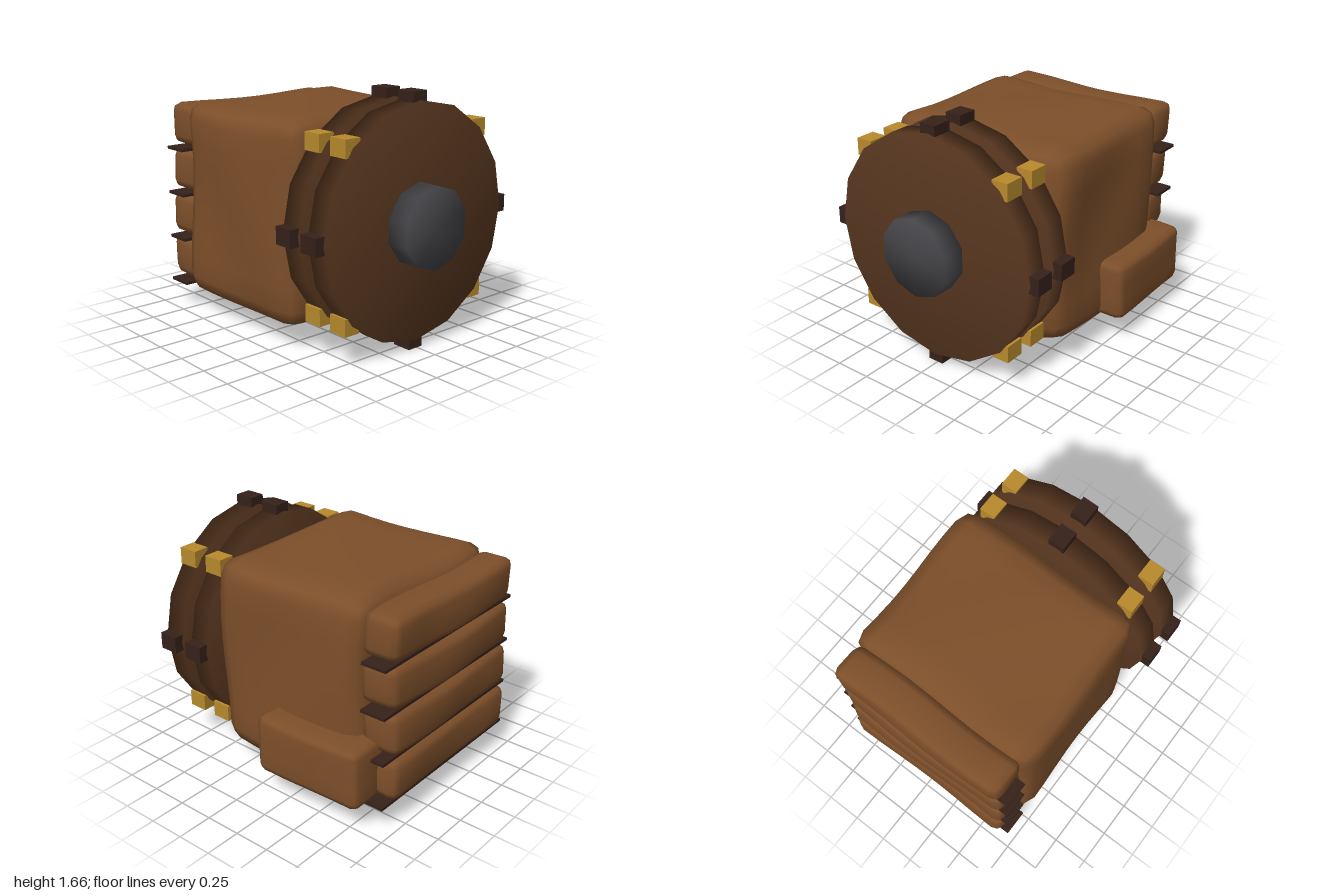
import * as THREE from 'three';
import { mergeVertices } from 'three/addons/utils/BufferGeometryUtils.js';

const mat = (color) => new THREE.MeshStandardMaterial({ color });
const leather = mat(0x7d4f2a);
const wood = mat(0x57361f);
const darkWood = mat(0x36211a);
const brass = mat(0xb88a2c);
const iron = mat(0x444448);

const CX = -0.015; // shared axis of the round parts
const CY = 0.84;
const R = 0.775;

// Weld the corners so the whole surface shades smoothly
function soften(geo) {
  geo.deleteAttribute('uv');
  geo.deleteAttribute('normal');
  const out = mergeVertices(geo, 1e-4);
  out.computeVertexNormals();
  return out;
}

// Grid positions along one axis: bevel band, even interior, bevel band
function remap(t, half, bevel, n) {
  const i = Math.round((t + 0.5) * n);
  if (i === 0) return -half;
  if (i === n) return half;
  return -half + bevel + ((i - 1) / (n - 2)) * 2 * (half - bevel);
}

// Soft stuffed box with chamfered edges and gentle dents
function stuffedBox(name, min, max, bevel, seg, dent) {
  const geo = new THREE.BoxGeometry(1, 1, 1, ...seg);
  const pos = geo.attributes.position;
  const lo = new THREE.Vector3(...min), hi = new THREE.Vector3(...max);
  const half = hi.clone().sub(lo).multiplyScalar(0.5);
  const mid = lo.clone().add(hi).multiplyScalar(0.5);
  const p = new THREE.Vector3();
  for (let i = 0; i < pos.count; i++) {
    p.set(
      remap(pos.getX(i), half.x, bevel, seg[0]),
      remap(pos.getY(i), half.y, bevel, seg[1]),
      remap(pos.getZ(i), half.z, bevel, seg[2])
    );
    // pull edges and corners inward to form the chamfer
    const edges = ['x', 'y', 'z'].filter((a) => Math.abs(p[a]) > half[a] - 1e-6);
    if (edges.length > 1) {
      for (const a of edges) p[a] -= Math.sign(p[a]) * bevel * (edges.length === 3 ? 0.42 : 0.29);
    }
    p.add(mid);
    const { x, y, z } = p;
    p.x += dent * Math.sin(4.1 * y + 5.3 * z + 1.0);
    p.y += dent * Math.sin(4.7 * x + 3.9 * z + 2.2);
    p.z += dent * Math.sin(5.1 * x + 4.3 * y + 0.6);
    pos.setXYZ(i, p.x, p.y, p.z);
  }
  const mesh = new THREE.Mesh(soften(geo), leather);
  mesh.name = name;
  return mesh;
}

function box(name, size, at, material) {
  const mesh = new THREE.Mesh(new THREE.BoxGeometry(...size), material);
  mesh.position.set(...at);
  mesh.name = name;
  return mesh;
}

// Round plate facing +z
function disc(name, radius, depth, sides, z, material) {
  const geo = new THREE.CylinderGeometry(radius, radius, depth, sides);
  // turn the axis forward with one corner at the top
  geo.rotateX(Math.PI / 2);
  if (sides % 4) geo.rotateZ(Math.PI);
  const mesh = new THREE.Mesh(soften(geo), material);
  mesh.position.set(CX, CY, z);
  mesh.name = name;
  return mesh;
}

export function createModel() {
  const model = new THREE.Group();
  model.name = 'pack';

  // Main bag
  model.add(stuffedBox('bag', [-0.705, 0.15, -0.75], [0.675, 1.495, 0.445], 0.12, [9, 9, 9], 0.012));

  // Side pouch on the left
  model.add(stuffedBox('sidePouch', [0.54, 0.195, -0.85], [0.84, 0.605, -0.05], 0.05, [4, 5, 7], 0.008));

  // Stacked rolls on the back, each with a thin slat below
  for (let i = 0; i < 4; i++) {
    const y = 0.35 + i * 0.32;
    model.add(stuffedBox('backRoll', [-0.66, y - 0.145, -0.985], [0.625, y + 0.145, -0.72], 0.06, [9, 4, 4], 0.009));
    model.add(box('slat', [1.39, 0.02, 0.18], [CX, 0.185 + i * 0.322, -0.855], darkWood));
  }

  // Two round plates, each with four dark blocks and four brass blocks on the rim
  for (const z of [0.535, 0.77]) {
    const plate = new THREE.Group();
    plate.name = 'roundPlate';
    plate.add(disc('disc', R, 0.15, 16, z, wood));
    for (let k = 0; k < 8; k++) {
      const a = (k * Math.PI) / 4;
      const at = [CX + R * Math.cos(a), CY + R * Math.sin(a), z];
      const name = k % 2 ? 'brassBlock' : 'darkBlock';
      plate.add(box(name, [0.115, 0.115, 0.137], at, k % 2 ? brass : darkWood));
    }
    model.add(plate);
  }

  // Hub at the front
  model.add(disc('hub', 0.27, 0.16, 10, 0.92, iron));
  return model;
}
